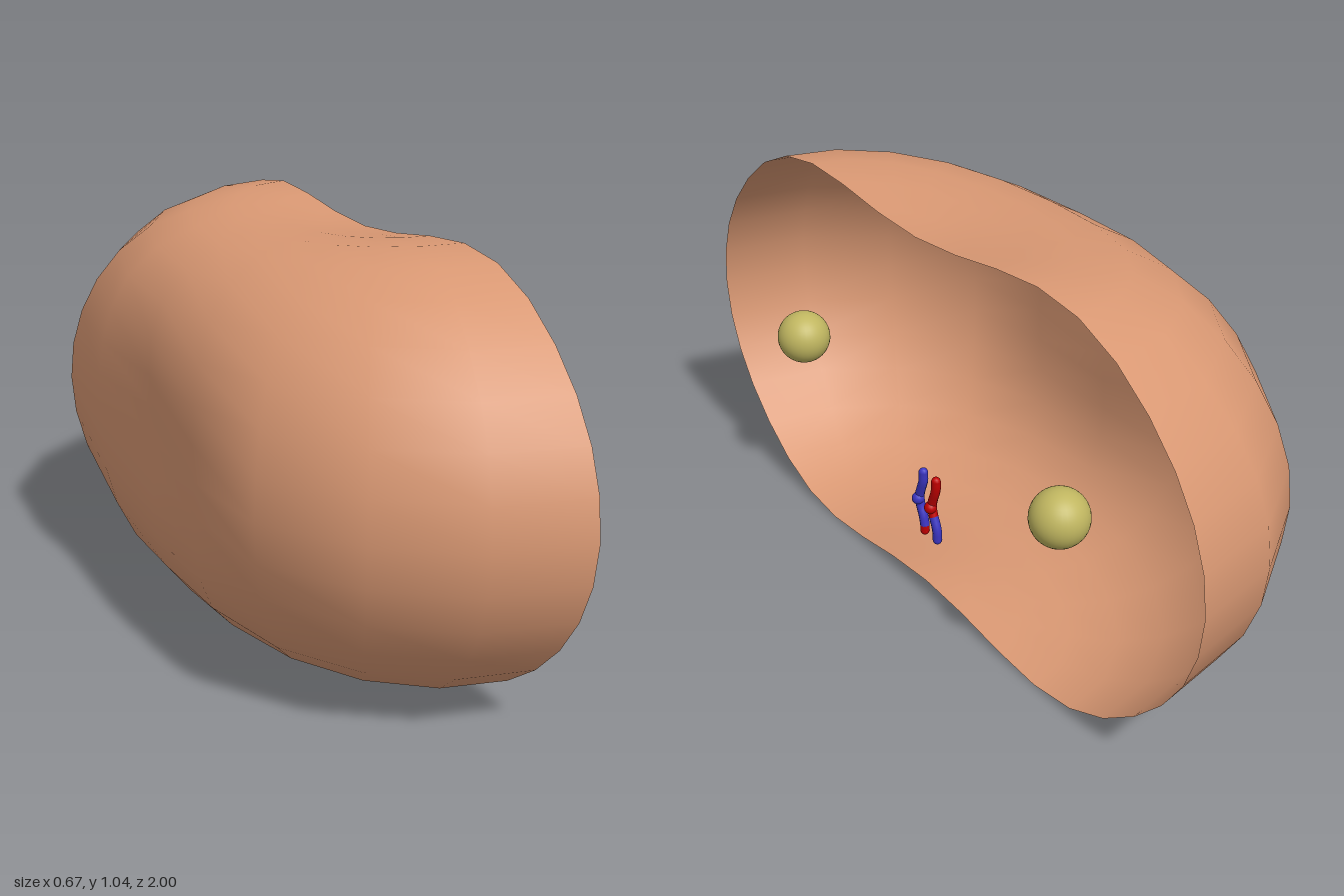
import * as THREE from 'three';
import { mergeVertices } from 'three/addons/utils/BufferGeometryUtils.js';

const CUT = 0.264;   // x of the open cut plane
const MID = 0.515;   // height of the long axis

const paint = (color, side = THREE.FrontSide) => new THREE.MeshStandardMaterial({ color, side });

// Half an ellipsoid whose waist is pinched at top, bottom and back, but hardly at the shoulders
function shellGeometry() {
  const lons = 10, lats = 20, pos = [], index = [];
  for (let i = 0; i <= lons; i++) {
    const lon = (i / lons - 0.5) * Math.PI;
    for (let j = 0; j <= lats; j++) {
      const lat = (j / lats - 0.5) * Math.PI;
      const x = Math.cos(lat) * Math.cos(lon), y = Math.sin(lat), z = Math.cos(lat) * Math.sin(lon);
      const a = Math.atan2(y, x);
      const waist = Math.abs(z) < 0.75 ? 0.5 + 0.5 * Math.cos(Math.PI * z / 0.75) : 0;
      const strength = (0.225 + 0.027 * Math.sin(a) ** 2) * (1 - 0.7 * Math.sin(2 * a) ** 2);
      const k = 1 - waist * strength;
      pos.push(CUT - 0.74 * k * x, MID + 0.637 * k * y, z);
      if (i < lons && j < lats) {
        const p = i * (lats + 1) + j, q = p + lats + 1;
        if (j > 0) index.push(p, q, p + 1);
        if (j < lats - 1) index.push(q, q + 1, p + 1);
        else index.push(p, q, q + 1);
      }
    }
  }
  const g = new THREE.BufferGeometry();
  g.setAttribute('position', new THREE.Float32BufferAttribute(pos, 3));
  g.setIndex(index);
  const merged = mergeVertices(g, 1e-5);
  merged.computeVertexNormals();
  return merged;
}

export function createModel() {
  const model = new THREE.Group();
  const add = (name, geometry, material, parent = model) => {
    const mesh = new THREE.Mesh(geometry, material);
    mesh.name = name;
    parent.add(mesh);
    return mesh;
  };

  add('cellMembrane', shellGeometry(), paint(0xd99873, THREE.DoubleSide));

  // Round bodies at both ends
  const olive = paint(0xc0b660);
  for (const [name, z] of [['leftCentriole', 0.56], ['rightCentriole', -0.54]]) {
    add(name, new THREE.SphereGeometry(0.07, 32, 24), olive).position.set(CUT, MID, z);
  }

  // Pair of bent rods, each two-coloured with a bead at the bend
  const blue = paint(0x3a34c0), red = paint(0xc00000);
  const rods = [
    { name: 'blueChromosome', z: 0, main: blue, tip: red, split: 0.21 },
    { name: 'redChromosome', z: -0.055, main: red, tip: blue, split: 0.255 },
  ];
  const bend = y => 0.02 * (0.5 + 0.5 * Math.cos(Math.PI * Math.min(1, Math.abs(y - 0.28) / 0.07)));
  for (const { name, z, main, tip, split } of rods) {
    const rod = new THREE.Group();
    rod.name = name;
    model.add(rod);
    const piece = (part, y0, y1, mat) => {
      const pts = Array.from({ length: 7 }, (_, i) => {
        const y = y0 + (y1 - y0) * i / 6;
        return new THREE.Vector3(CUT - 0.002, y, z + bend(y));
      });
      add(part, new THREE.TubeGeometry(new THREE.CatmullRomCurve3(pts), 16, 0.012, 10), mat, rod);
      for (const p of [pts[0], pts[6]]) {
        add(part + 'End', new THREE.SphereGeometry(0.012, 10, 8), mat, rod).position.copy(p);
      }
    };
    piece('upperArm', split, 0.364, main);
    piece('lowerArm', 0.193, split, tip);
    add('centromere', new THREE.SphereGeometry(0.016, 16, 12), main, rod).position.set(CUT + 0.003, 0.28, z + 0.02);
  }
  return model;
}
